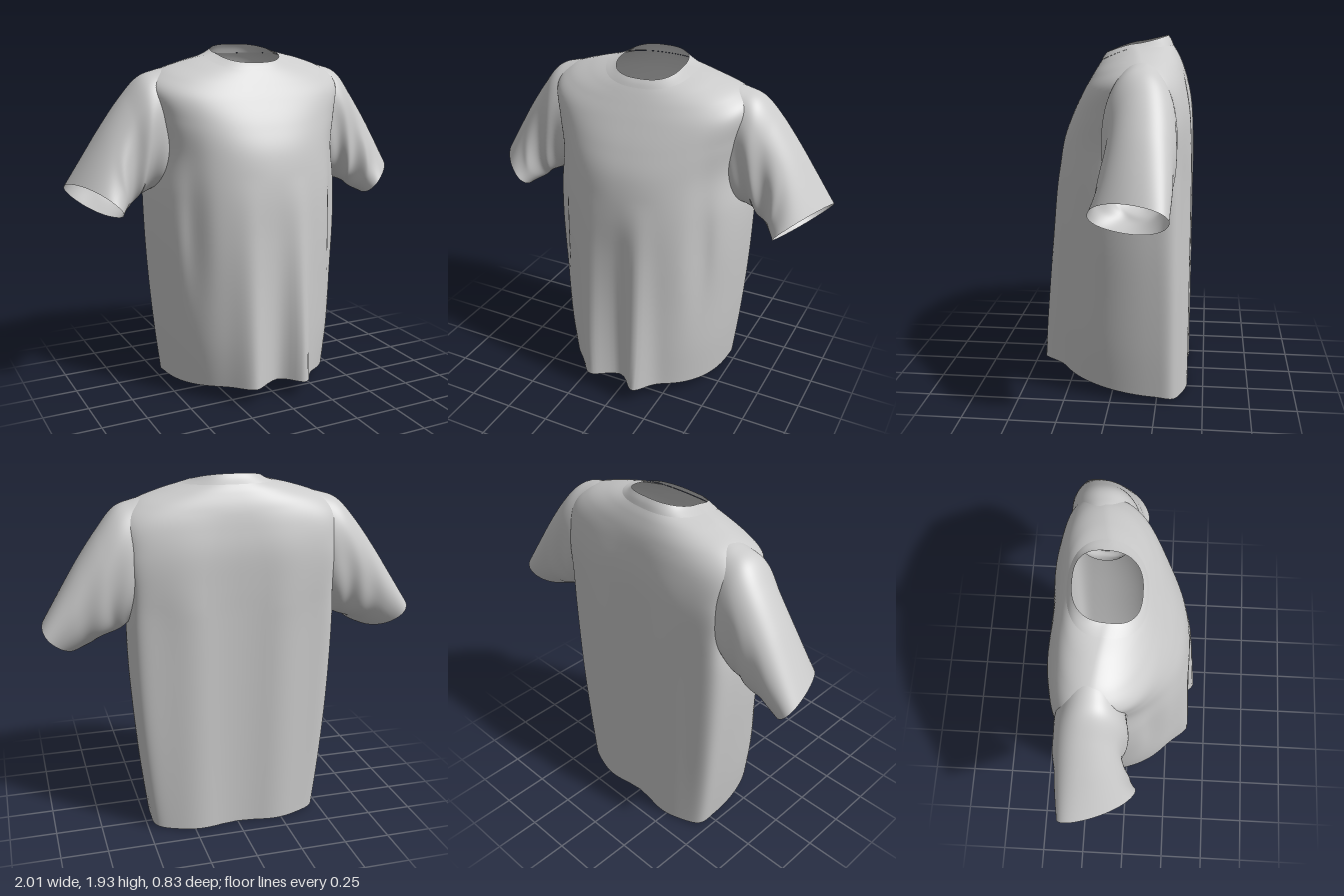
import * as THREE from 'three';

const cloth = new THREE.MeshStandardMaterial({ color: 0xcccccc, side: THREE.DoubleSide });
const gauss = (x, c, w) => Math.exp(-(((x - c) / w) ** 2));
const spow = (v, p) => Math.sign(v) * Math.abs(v) ** p;

// Smooth interpolation through rows of numbers, t from 0 to 1
function sampleRows(rows, t) {
  const f = t * (rows.length - 1);
  const i = Math.min(Math.floor(f), rows.length - 2);
  const u = f - i;
  const row = (k) => rows[Math.max(0, Math.min(rows.length - 1, k))];
  const [a, b, c, d] = [row(i - 1), row(i), row(i + 1), row(i + 2)];
  return b.map((p, k) => {
    const m0 = (c[k] - a[k]) / 2, m1 = (d[k] - p) / 2, q = c[k];
    return p + m0 * u + (3 * (q - p) - 2 * m0 - m1) * u * u + (2 * (p - q) + m0 + m1) * u ** 3;
  });
}

// Open tube of closed rings: point(v, angle) returns [x, y, z]
function loft(name, point, rings, sides) {
  const pos = [], index = [];
  for (let r = 0; r <= rings; r++) {
    for (let s = 0; s < sides; s++) {
      pos.push(...point(r / rings, (s / sides) * Math.PI * 2));
      if (r === rings) continue;
      const a = r * sides + s, b = r * sides + ((s + 1) % sides);
      index.push(a, a + sides, b, b, a + sides, b + sides);
    }
  }
  const geo = new THREE.BufferGeometry();
  geo.setAttribute('position', new THREE.Float32BufferAttribute(pos, 3));
  geo.setIndex(index);
  geo.computeVertexNormals();
  const mesh = new THREE.Mesh(geo, cloth);
  mesh.name = name;
  return mesh;
}

// Torso rings: side y, front y, back y, half width, side z, front z, back z, front power, back power
const torso = [
  [0.03, 0.10, 0.00, 0.472, -0.24, 0.330, -0.400, 2.4, 4.0],
  [0.30, 0.33, 0.28, 0.505, -0.23, 0.333, -0.400, 2.4, 4.2],
  [0.60, 0.61, 0.59, 0.533, -0.22, 0.335, -0.400, 2.3, 4.4],
  [0.90, 0.90, 0.90, 0.553, -0.20, 0.335, -0.400, 2.2, 4.5],
  [1.15, 1.15, 1.15, 0.556, -0.19, 0.330, -0.400, 2.1, 4.6],
  [1.38, 1.36, 1.37, 0.530, -0.18, 0.300, -0.400, 2.2, 4.8],
  [1.58, 1.51, 1.54, 0.555, -0.17, 0.245, -0.395, 2.3, 4.2],
  [1.73, 1.64, 1.67, 0.575, -0.16, 0.180, -0.375, 2.4, 3.4],
  [1.803, 1.72, 1.77, 0.500, -0.15, 0.136, -0.350, 2.3, 2.7],
  [1.852, 1.77, 1.84, 0.360, -0.13, 0.107, -0.320, 2.3, 2.4],
  [1.877, 1.80, 1.88, 0.250, -0.11, 0.088, -0.295, 2.4, 2.4],
];
const collar = [
  [1.877, 1.80, 1.88, 0.253, -0.11, 0.091, -0.298, 2.4, 2.4],
  [1.887, 1.822, 1.908, 0.210, -0.105, 0.078, -0.286, 2.5, 2.5],
  [1.893, 1.842, 1.932, 0.185, -0.10, 0.062, -0.270, 2.6, 2.6],
];

function torsoPoint(rows, v, angle) {
  const [yS, yF, yB, w, zS, zF, zB, nF, nB] = sampleRows(rows, v);
  const front = Math.sin(angle) >= 0;
  const p = 2 / (front ? nF : nB);
  const depth = Math.abs(Math.sin(angle)) ** p;
  let x = w * spow(Math.cos(angle), p);
  const y = yS + ((front ? yF : yB) - yS) * depth ** 1.3;
  let z = zS + ((front ? zF : zB) - zS) * depth;
  // Hanging folds, strongest at the hem, and a hollow below each armhole
  if (front) {
    const hang = Math.max(0, 1 - y / 1.25) ** 1.1;
    z += hang * (0.105 * gauss(x, 0.13, 0.065) + 0.082 * gauss(x, -0.17, 0.08) - 0.02 * gauss(x, 0, 0.05));
    z -= 0.05 * gauss(y, 0.95, 0.35) * gauss(Math.abs(x), 0.43, 0.05) * depth;
  } else {
    const fade = Math.min(1, Math.max(0, (1.75 - y) / 0.5));
    z += 0.014 * fade * depth ** 3 * Math.cos((x * Math.PI * 2) / 0.45);
    // Shoulder blades spread over the back of the armholes
    x *= 1 + 0.09 * gauss(y, 1.43, 0.2) * depth;
  }
  return [x, y, z];
}

// Sleeve rings: top x, top y, bottom x, bottom y, front z, back z, lean in z, twist of the front edge inwards
const sleeve = [
  [0.40, 1.828, 0.45, 1.25, -0.02, -0.300, 0.00, 0],
  [0.51, 1.806, 0.50, 1.19, 0.010, -0.330, 0.00, 0],
  [0.605, 1.768, 0.56, 1.165, 0.020, -0.346, 0.00, 0],
  [0.70, 1.66, 0.63, 1.125, 0.005, -0.346, 0.01, 0.005],
  [0.80, 1.52, 0.69, 1.095, 0.01, -0.340, 0.02, 0.015],
  [0.885, 1.385, 0.735, 1.065, 0.03, -0.332, 0.035, 0.03],
  [0.990, 1.212, 0.785, 1.035, 0.06, -0.318, 0.06, 0.05],
];

function sleevePoint(side, v, angle) {
  const [tx, ty, bx, by, zF, zB, lean, twist] = sampleRows(sleeve, v);
  const c = spow(Math.cos(angle), 0.92), s = -side * spow(Math.sin(angle), 0.92);
  let x = (tx + bx) / 2 + ((tx - bx) / 2) * c - twist * s;
  const y = (ty + by) / 2 + ((ty - by) / 2) * c + twist * 0.45 * s;
  let z = (zF + zB) / 2 + ((zF - zB) / 2) * s - lean * c;
  // Creases fanning out from the underarm
  const crease = Math.sin(Math.PI * v) * Math.max(0, 0.6 - c) * 0.016;
  z += crease * Math.sin(v * 19 + c * 3) * (s > 0 ? 1 : 0.5) * Math.abs(s);
  x += crease * 0.5 * Math.sin(v * 13 + s * 4);
  return [side * x, y, z];
}

export function createModel() {
  const shirt = new THREE.Group();
  shirt.name = 'shirt';
  shirt.add(loft('torso', (v, a) => torsoPoint(torso, v, a), 80, 160));
  shirt.add(loft('collar', (v, a) => torsoPoint(collar, v, a), 8, 160));
  for (const side of [1, -1]) {
    shirt.add(loft(side > 0 ? 'leftSleeve' : 'rightSleeve', (v, a) => sleevePoint(side, v, a), 60, 80));
  }
  return shirt;
}
